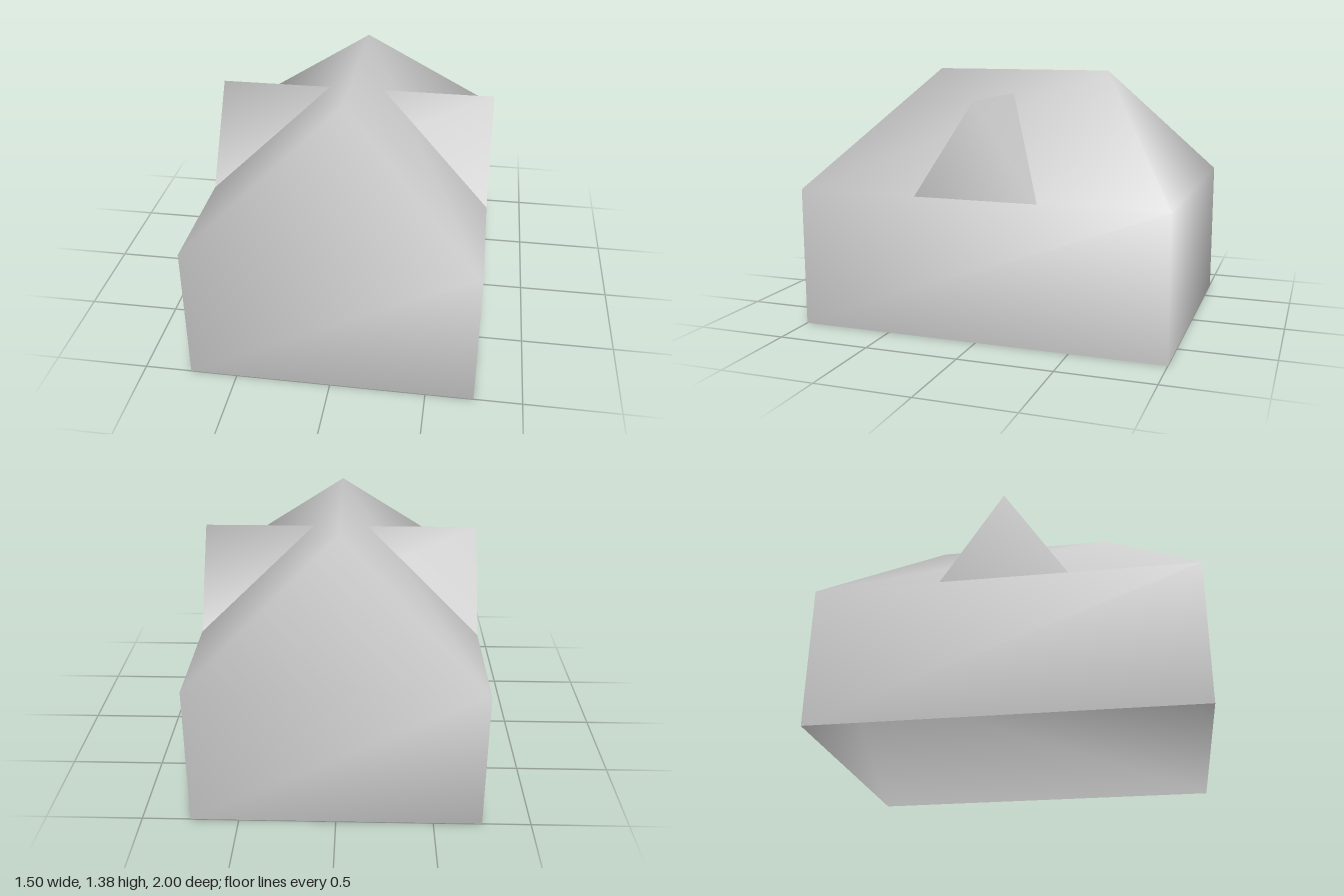
import * as THREE from 'three';

// Indexed mesh with shared corners, so shading runs smoothly over the edges
function smoothMesh(name, corners, faces, material) {
  const geometry = new THREE.BufferGeometry();
  geometry.setAttribute('position', new THREE.Float32BufferAttribute(corners.flat(), 3));
  geometry.setIndex(faces.flat());
  geometry.computeVertexNormals();
  const mesh = new THREE.Mesh(geometry, material);
  mesh.name = name;
  return mesh;
}

export function createModel() {
  const group = new THREE.Group();
  group.name = 'house';
  const plaster = new THREE.MeshStandardMaterial({ color: 0xcccccc, side: THREE.DoubleSide });
  plaster.name = 'light grey';

  const halfWidth = 0.75, halfDepth = 1, eave = 0.75;

  // Walls and hipped roof, open underneath
  const ring = (y) => [
    [-halfWidth, y, halfDepth], [halfWidth, y, halfDepth],
    [halfWidth, y, -halfDepth], [-halfWidth, y, -halfDepth],
  ];
  const corners = [...ring(0), ...ring(eave), [0, 1.375, 0.5], [0, 1.375, -0.5]];
  const faces = [];
  for (let i = 0; i < 4; i++) {
    const j = (i + 1) % 4;
    faces.push([i, j, j + 4], [i, j + 4, i + 4]);
  }
  faces.push([4, 5, 8], [5, 6, 9], [5, 9, 8], [6, 7, 9], [7, 4, 8], [7, 8, 9]);
  group.add(smoothMesh('wallsAndHipRoof', corners, faces, plaster));

  // Cross gable running through the roof, open underneath
  const gable = (x) => [[x, eave, 0.333], [x, eave, -0.333], [x, 1.25, 0]];
  group.add(smoothMesh(
    'crossGable',
    [...gable(halfWidth), ...gable(-halfWidth)],
    [[0, 1, 2], [3, 5, 4], [3, 0, 2], [3, 2, 5], [1, 4, 5], [1, 5, 2]],
    plaster,
  ));

  return group;
}
